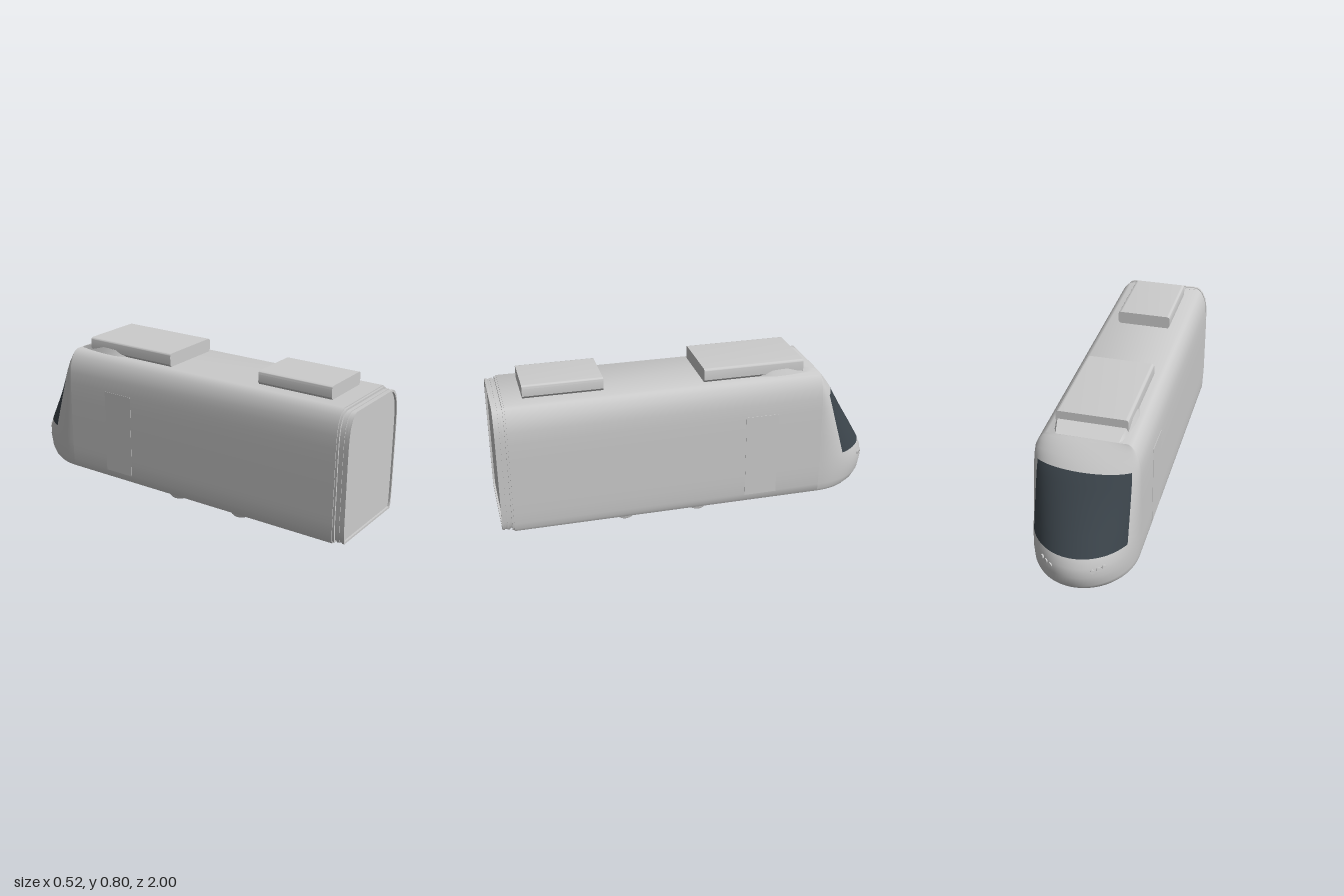
import * as THREE from 'three';
import { toCreasedNormals } from 'three/addons/utils/BufferGeometryUtils.js';

// Cross-section rows from floor to roof: [height, half width, nose length]
const ROWS = [
  [0.065, 0.248, 0.27], [0.08, 0.255, 0.295], [0.11, 0.258, 0.317], [0.17, 0.26, 0.33],
  [0.22, 0.26, 0.324], [0.265, 0.26, 0.305], [0.36, 0.26, 0.25], [0.46, 0.26, 0.19],
  [0.55, 0.259, 0.138], [0.61, 0.256, 0.103], [0.66, 0.248, 0.066], [0.7, 0.23, 0.03],
  [0.72, 0.213, 0.01], [0.73, 0.195, 0],
];
const NOSE_Z = -0.67;

// Outline of the carriage, scaled about its middle
function sectionPoints(s = 1) {
  const right = ROWS.map(([y, w]) => new THREE.Vector2(w * s, 0.4 + (y - 0.4) * s));
  const left = right.map((p) => new THREE.Vector2(-p.x, p.y)).reverse();
  return [...right, ...left];
}

function extrude(shape, z0, z1) {
  const g = new THREE.ExtrudeGeometry(shape, { depth: z1 - z0, bevelEnabled: false, curveSegments: 6 });
  g.translate(0, 0, z0);
  return toCreasedNormals(g, 0.6);
}

// Rounded nose: half-ellipse plan at every row, windscreen as a second material group
function noseGeometry() {
  const cols = 45, pos = [], shell = [], glass = [];
  for (const [y, w, l] of ROWS) {
    for (let j = 0; j <= cols; j++) {
      const t = (j / cols) * Math.PI;
      pos.push(w * Math.cos(t), y, NOSE_Z - l * Math.sin(t));
    }
  }
  for (let i = 0; i < ROWS.length - 1; i++) {
    for (let j = 0; j < cols; j++) {
      const a = i * (cols + 1) + j, c = a + cols + 1;
      const isGlass = i >= 5 && i < 9 && j >= 7 && j < 38;
      (isGlass ? glass : shell).push(a, a + 1, c + 1, a, c + 1, c);
    }
  }
  const g = new THREE.BufferGeometry();
  g.setAttribute('position', new THREE.Float32BufferAttribute(pos, 3));
  g.setIndex([...shell, ...glass]);
  g.addGroup(0, shell.length, 0);
  g.addGroup(shell.length, glass.length, 1);
  g.computeVertexNormals();
  return g;
}

// Low roof fairing lofted from rows of [z, top half width, base half width, top height]
function fairingGeometry() {
  const rows = [
    [-0.34, 0.16, 0.165, 0.729], [-0.37, 0.17, 0.185, 0.742], [-0.42, 0.176, 0.198, 0.757],
    [-0.5, 0.174, 0.194, 0.763], [-0.59, 0.165, 0.182, 0.757], [-0.63, 0.158, 0.175, 0.746],
    [-0.67, 0.15, 0.168, 0.729],
  ];
  const pos = [], idx = [];
  for (const [z, t, b, y] of rows) pos.push(b, 0.715, z, t, y, z, -t, y, z, -b, 0.715, z);
  for (let i = 0; i < rows.length - 1; i++) {
    for (let j = 0; j < 3; j++) {
      const a = i * 4 + j, c = a + 4;
      idx.push(a, c + 1, a + 1, a, c, c + 1);
    }
  }
  const g = new THREE.BufferGeometry();
  g.setAttribute('position', new THREE.Float32BufferAttribute(pos, 3));
  g.setIndex(idx);
  return toCreasedNormals(g, 0.6);
}

// Roof box with rounded upper corners
function roofBox(w, top, z0, z1) {
  const c = 0.016, s = new THREE.Shape();
  s.moveTo(-w + c, 0.72);
  s.lineTo(w - c, 0.72);
  s.lineTo(w, 0.742);
  s.lineTo(w, top - c);
  s.quadraticCurveTo(w, top, w - c, top);
  s.lineTo(-w + c, top);
  s.quadraticCurveTo(-w, top, -w, top - c);
  s.lineTo(-w, 0.742);
  return extrude(s, z0, z1);
}

export function createModel() {
  const group = new THREE.Group();
  const paint = new THREE.MeshStandardMaterial({ color: 0xcccccc });
  paint.name = 'light grey body';
  const glass = new THREE.MeshStandardMaterial({ color: 0x3c454c });
  glass.name = 'dark glass';

  const add = (name, geometry, material = paint) => {
    const mesh = new THREE.Mesh(geometry, material);
    mesh.name = name;
    group.add(mesh);
    return mesh;
  };

  // Main shell and nose
  add('carriageBody', extrude(new THREE.Shape(sectionPoints()), NOSE_Z, 0.94));
  add('bodyEndLip', extrude(new THREE.Shape(sectionPoints(0.985)), 0.93, 0.95));
  add('noseAndWindscreen', noseGeometry(), [paint, glass]);
  const under = new THREE.CircleGeometry(1, 45, Math.PI, Math.PI);
  under.scale(ROWS[0][1], ROWS[0][2], 1);
  under.rotateX(Math.PI / 2);
  under.translate(0, ROWS[0][0], NOSE_Z);
  add('noseUnderside', under);

  // Ribbed connecting frame and its recessed end panel
  [0.955, 0.97, 0.96, 0.97].forEach((s, i) => {
    const frame = new THREE.Shape(sectionPoints(s));
    frame.holes.push(new THREE.Path(sectionPoints(0.94).reverse()));
    const z = 0.948 + i * 0.013;
    add('gangwayRib', extrude(frame, z, z + 0.013));
  });
  add('gangwayPanel', extrude(new THREE.Shape(sectionPoints(0.945)), 0.945, 0.99));

  // Roof equipment
  add('frontRoofBox', roofBox(0.175, 0.8, -0.585, -0.06));
  add('rearRoofBox', roofBox(0.142, 0.797, 0.445, 0.845));
  add('roofFairing', fairingGeometry());

  // Wheels with inner flanges, joined by thin axles
  for (const z of [0.36, -0.03]) {
    const axle = new THREE.CylinderGeometry(0.008, 0.008, 0.32, 12);
    axle.rotateZ(Math.PI / 2);
    add('axle', axle).position.set(0, 0.065, z);
    for (const side of [-1, 1]) {
      const profile = [[0, 0.152], [0.06, 0.152], [0.065, 0.156], [0.063, 0.161], [0.057, 0.164],
        [0.055, 0.179], [0.05, 0.181], [0, 0.181]].map(([r, x]) => new THREE.Vector2(r, x));
      const wheel = toCreasedNormals(new THREE.LatheGeometry(profile, 32), 0.6);
      wheel.rotateZ(-side * Math.PI / 2);
      add('wheel', wheel).position.set(0, 0.065, z);
    }
  }

  for (const side of [-1, 1]) {
    // Side door, barely proud of the wall
    const door = add('sideDoor', new THREE.BoxGeometry(0.005, 0.445, 0.17));
    door.position.set(side * 0.259, 0.3275, -0.345);

    // Cluster of three small lamps on the nose
    [55, 61, 67].forEach((deg, i) => {
      const t = THREE.MathUtils.degToRad(deg);
      const lamp = new THREE.CylinderGeometry(0.011, 0.012, 0.01, 16);
      const mesh = add('headlamp', lamp);
      mesh.position.set(side * 0.26 * Math.cos(t), 0.215 - i * 0.006, NOSE_Z - 0.326 * Math.sin(t));
      const normal = new THREE.Vector3(side * Math.cos(t) / 0.26, 0.3, -Math.sin(t) / 0.326).normalize();
      mesh.quaternion.setFromUnitVectors(new THREE.Vector3(0, 1, 0), normal);
    });
  }
  return group;
}
